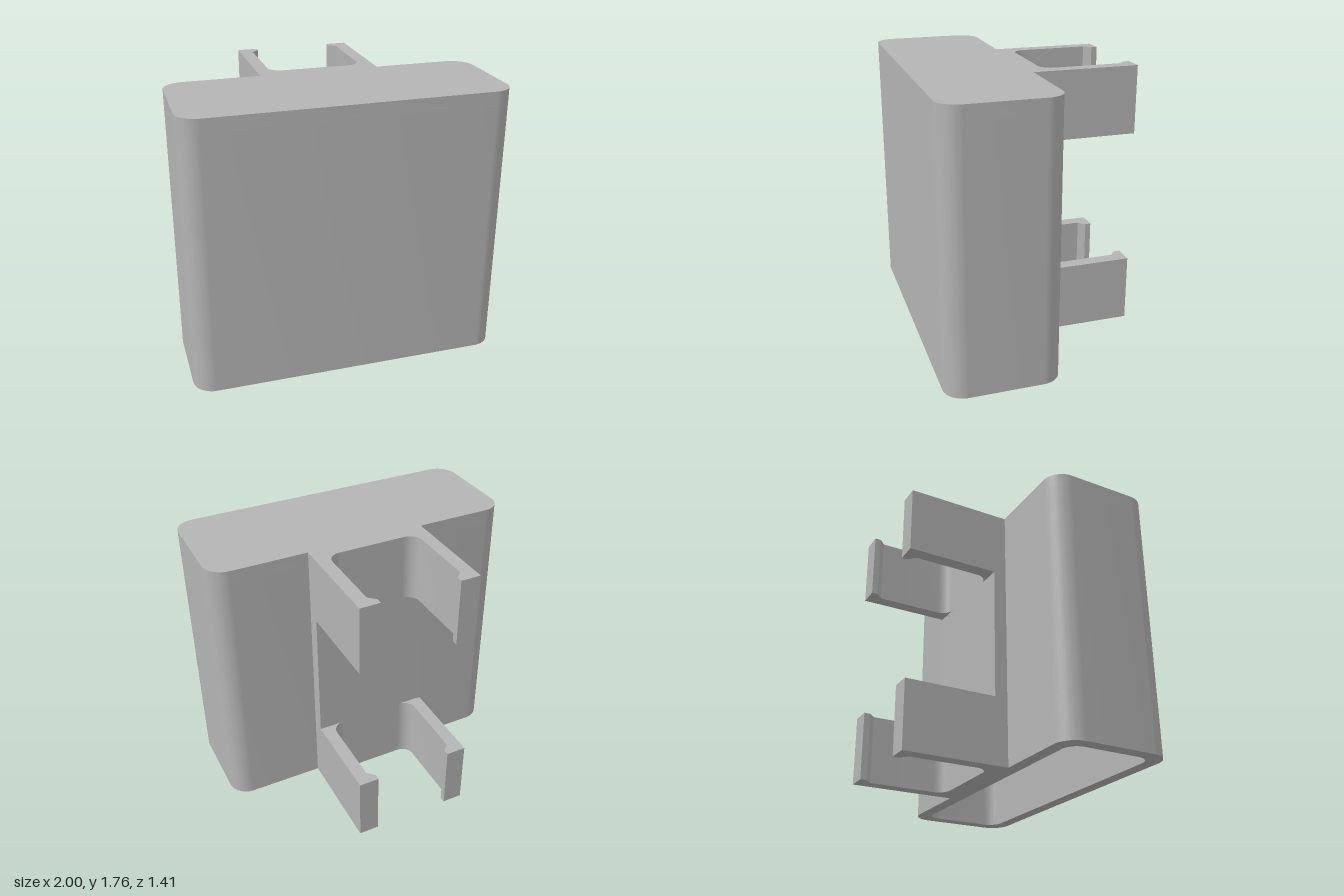
import * as THREE from 'three';
import { toCreasedNormals } from 'three/addons/utils/BufferGeometryUtils.js';

const HEIGHT = 1.76, WALL = 0.085, BACK = -0.02, FRONT = 0.705;

// Rounded rectangle in plan; shape y is -z
function roundedRect(path, x0, y0, x1, y1, r) {
  path.moveTo(x0 + r, y0);
  path.lineTo(x1 - r, y0);
  path.absarc(x1 - r, y0 + r, r, -Math.PI / 2, 0, false);
  path.lineTo(x1, y1 - r);
  path.absarc(x1 - r, y1 - r, r, 0, Math.PI / 2, false);
  path.lineTo(x0 + r, y1);
  path.absarc(x0 + r, y1 - r, r, Math.PI / 2, Math.PI, false);
  path.lineTo(x0, y0 + r);
  path.absarc(x0 + r, y0 + r, r, Math.PI, Math.PI * 1.5, false);
  return path;
}

// Extrude a plan shape upwards from y0 to y1
function prism(shape, y0, y1) {
  const g = new THREE.ExtrudeGeometry(shape, { depth: y1 - y0, bevelEnabled: false, curveSegments: 12 });
  g.rotateX(-Math.PI / 2);
  g.translate(0, y0, 0);
  return toCreasedNormals(g, 0.6);
}

// Plan of one spring arm with a root fillet and a hooked tip; side is +1 or -1
function armShape(side) {
  const inner = 0.3, outer = 0.385, root = 0.105, r = 0.08;
  const pts = [[outer, root], [outer, 0.705], [0.255, 0.705], [0.255, 0.665], [inner, 0.622]];
  for (let i = 0; i <= 10; i++) {
    const a = (i / 10) * Math.PI / 2;
    pts.push([inner - r + r * Math.cos(a), root + r - r * Math.sin(a)]);
  }
  return new THREE.Shape(pts.map(([x, y]) => new THREE.Vector2(side * x, y)));
}

export function createModel() {
  const model = new THREE.Group();
  model.name = 'clipHolder';
  const grey = new THREE.MeshStandardMaterial({ color: 0xb4b4b4 });
  grey.name = 'grey';
  const add = (name, geometry) => {
    const mesh = new THREE.Mesh(geometry, grey);
    mesh.name = name;
    model.add(mesh);
    return mesh;
  };

  // Hollow body, open underneath, closed by a solid top
  const outline = () => roundedRect(new THREE.Shape(), -1, -FRONT, 1, -BACK, 0.13);
  const shell = outline();
  shell.holes.push(roundedRect(new THREE.Path(), -1 + WALL, -FRONT + WALL, 1 - WALL, -BACK - WALL, 0.09));
  add('bodyWalls', prism(shell, 0, HEIGHT - WALL));
  add('bodyTop', prism(outline(), HEIGHT - WALL, HEIGHT));

  // Full-height mounting plate on the back
  const plate = add('clipPlate', new THREE.BoxGeometry(0.77, HEIGHT, 0.085));
  plate.position.set(0, HEIGHT / 2, -0.0625);

  // Two pairs of hooked arms, at the bottom and the top
  for (const [level, y0, y1] of [['lower', 0, 0.44], ['upper', 1.32, HEIGHT]]) {
    for (const side of [1, -1]) {
      add(`${level}${side > 0 ? 'Left' : 'Right'}Arm`, prism(armShape(side), y0, y1));
    }
  }
  return model;
}
